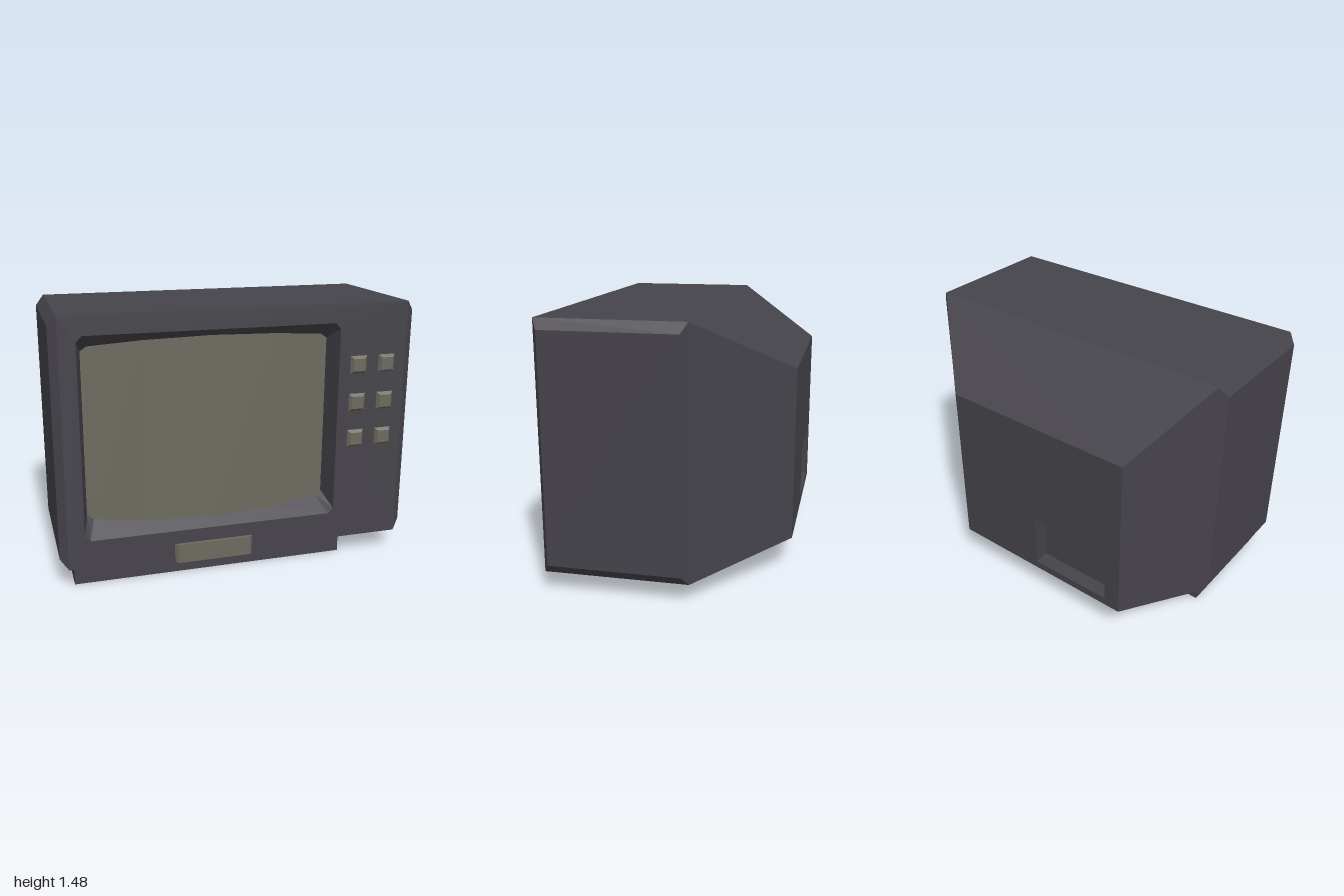
import * as THREE from 'three';

const casing = new THREE.MeshStandardMaterial({ color: 0x46444b });
casing.name = 'charcoal casing';
const olive = new THREE.MeshStandardMaterial({ color: 0x6d6b5f });
olive.name = 'olive glass';

// Flat-shaded geometry from quads of [x, y, z] corners
function quadGeometry(quads) {
  const pos = [];
  for (const [a, b, c, d] of quads) pos.push(...a, ...b, ...c, ...a, ...c, ...d);
  const g = new THREE.BufferGeometry();
  g.setAttribute('position', new THREE.Float32BufferAttribute(pos, 3));
  g.computeVertexNormals();
  return g;
}

// Quads joining a front ring to a rear ring (counterclockwise seen from +z)
function loft(front, rear, inward = false) {
  return front.map((a, i) => {
    const j = (i + 1) % front.length;
    const q = [a, rear[i], rear[j], front[j]];
    return inward ? q.reverse() : q;
  });
}

const rect = (x0, x1, y0, y1, z) => [[x0, y0, z], [x1, y0, z], [x1, y1, z], [x0, y1, z]];

// Box whose +z face is narrowed to w2 x h2; its rear face sits at z = 0
function frustum(w, h, w2, h2, depth) {
  const rear = rect(-w / 2, w / 2, -h / 2, h / 2, 0);
  const front = rect(-w2 / 2, w2 / 2, -h2 / 2, h2 / 2, depth);
  return quadGeometry([...loft(front, rear), front, [...rear].reverse()]);
}

// Flat plate with one hole
function holedPlate(outline, hole) {
  const toPoints = ring => ring.map(([x, y]) => new THREE.Vector2(x, y));
  const shape = new THREE.Shape(toPoints(outline));
  shape.holes.push(new THREE.Path(toPoints(hole)));
  return new THREE.ShapeGeometry(shape);
}

export function createModel() {
  const group = new THREE.Group();
  const add = (name, geometry, material, x = 0, y = 0, z = 0) => {
    const m = new THREE.Mesh(geometry, material);
    m.name = name;
    m.position.set(x, y, z);
    group.add(m);
    return m;
  };

  // Casing: straight front section and tapered, off-centre rear
  const zFront = 0.625, zMid = -0.165, zBack = -0.645;
  const frontRing = rect(-0.955, 0.955, 0.11, 1.475, zFront);
  const midRing = rect(-0.955, 0.955, 0.11, 1.475, zMid);
  const backRing = rect(-0.73, 0.42, 0.19, 1.165, zBack);
  add('casing', quadGeometry(loft(frontRing, midRing)), casing);
  add('rearCasing', quadGeometry(loft(midRing, backRing)), casing);

  // Bevelled side panels
  for (const s of [-1, 1]) {
    const panel = add(s > 0 ? 'leftPanel' : 'rightPanel',
      frustum(0.79, 1.365, 0.725, 1.255, 0.045), casing, s * 0.955, 0.7925, 0.23);
    panel.rotation.y = s * Math.PI / 2;
  }

  // Screen columns: outer x, inner x, corner cut; the glass bulges in the middle
  const columns = [
    [-0.865, -0.835, 0.03], [-0.835, -0.8, 0], [-0.52, -0.52, 0], [-0.1525, -0.1525, 0],
    [0.215, 0.215, 0], [0.53, 0.495, 0], [0.56, 0.53, 0.03],
  ];
  const outer = { top: [], bottom: [] }, inner = { top: [], bottom: [] };
  for (const [xo, xi, cut] of columns) {
    const u = (xi + 0.1525) / 0.6825;
    const depth = 0.06 + 0.06 * u * u;
    const taper = depth * 0.66;
    outer.top.push([xo, 1.37 - cut, zFront]);
    outer.bottom.push([xo, 0.265 + cut, zFront]);
    inner.top.push([xi, 1.37 - cut * 0.7 - taper, zFront - depth]);
    inner.bottom.push([xi, 0.265 + cut * 0.7 + taper, zFront - depth]);
  }
  const ring = r => [...r.bottom, ...[...r.top].reverse()];
  add('frontFace', holedPlate(frontRing, ring(outer)), casing, 0, 0, zFront);
  add('screenSurround', quadGeometry(loft(ring(outer), ring(inner), true)), casing);
  const glass = [];
  for (let i = 0; i < columns.length - 1; i++) {
    glass.push([inner.bottom[i], inner.bottom[i + 1], inner.top[i + 1], inner.top[i]]);
  }
  add('screen', quadGeometry(glass), olive);

  // Back face with a recessed socket bay
  const bay = [-0.635, -0.14, 0.235, 0.557];
  const bayOuter = rect(...bay, zBack), bayInner = rect(...bay, zBack + 0.085);
  const plate = holedPlate(backRing.map(([x, y]) => [-x, y]), bayOuter.map(([x, y]) => [-x, y]));
  add('backFace', plate, casing, 0, 0, zBack).rotation.y = Math.PI;
  add('backRecess', quadGeometry([
    ...loft(bayInner, bayOuter, true), [...bayInner].reverse(),
  ]), casing);

  // Buttons: two columns of three
  for (const x of [0.674, 0.842]) {
    for (const y of [1.134, 0.92, 0.71]) {
      add('button', frustum(0.096, 0.1, 0.066, 0.07, 0.017), olive, x, y, zFront);
    }
  }

  // Front control flap, hanging slightly below the casing
  add('flap', frustum(0.445, 0.108, 0.41, 0.108, 0.02), olive, -0.153, 0.135, zFront);
  add('flapBack', new THREE.BoxGeometry(0.445, 0.108, 0.05), olive, -0.153, 0.135, 0.6);

  // Base
  add('base', new THREE.BoxGeometry(1.545, 0.13, 0.695), casing, -0.1525, 0.065, 0.2325);

  return group;
}
